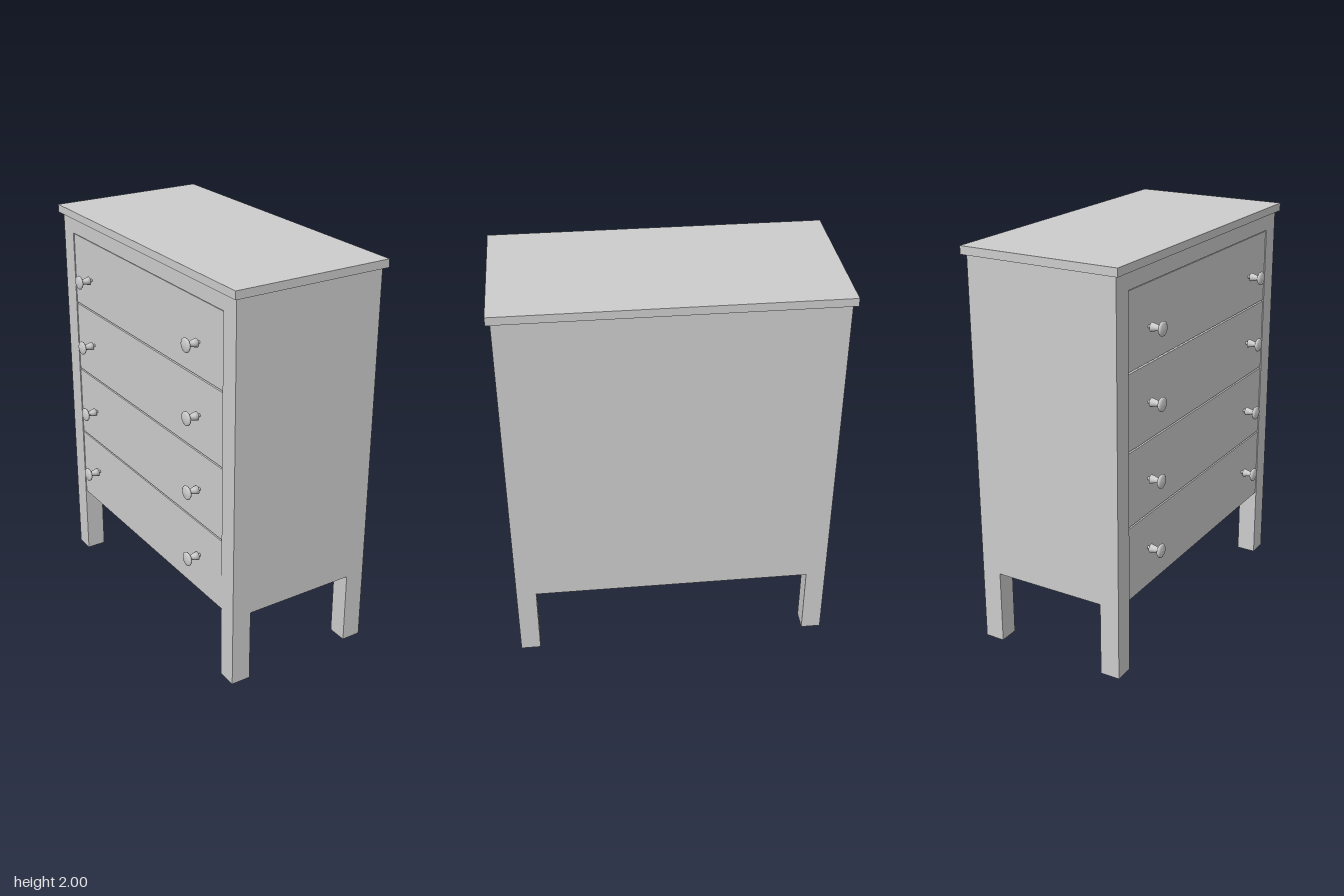
import * as THREE from 'three';

const material = new THREE.MeshStandardMaterial({ color: 0xcccccc });

// Box given by its minimum and maximum corners
function box(name, [x0, y0, z0], [x1, y1, z1]) {
  const mesh = new THREE.Mesh(new THREE.BoxGeometry(x1 - x0, y1 - y0, z1 - z0), material);
  mesh.name = name;
  mesh.position.set((x0 + x1) / 2, (y0 + y1) / 2, (z0 + z1) / 2);
  return mesh;
}

export function createModel() {
  const group = new THREE.Group();
  group.name = 'chestOfDrawers';

  const front = -0.36, back = 0.42, inner = -0.34; // drawers face -x
  const half = 0.8, post = 0.1;
  const bottom = 0.375, drawerTop = 1.875, top = 1.96;

  // Carcass and overhanging top board
  group.add(box('carcass', [inner, bottom, -half], [back, top, half]));
  group.add(box('topBoard', [front - 0.02, top, -half - 0.02], [back + 0.02, 2, half + 0.02]));

  // Four square legs, with the front posts continuing up beside the drawers
  for (const s of [-1, 1]) {
    const z0 = s < 0 ? -half : half - post, z1 = z0 + post;
    group.add(box('frontLeg', [front, 0, z0], [front + post, bottom, z1]));
    group.add(box('backLeg', [back - post, 0, z0], [back, bottom, z1]));
    group.add(box('frontPost', [front, bottom, z0], [inner, top, z1]));
  }
  group.add(box('topRail', [front, drawerTop, post - half], [inner, top, half - post]));

  // Turned knob: slim pin, flared stem, narrow waist and rounded head
  const profile = [
    [0.008, 0], [0.008, 0.02], [0.022, 0.02], [0.017, 0.038], [0.013, 0.055], [0.016, 0.061],
    [0.031, 0.069], [0.035, 0.075], [0.034, 0.08], [0.026, 0.085], [0, 0.088],
  ].map(([r, y]) => new THREE.Vector2(r, y));
  const knobGeometry = new THREE.LatheGeometry(profile, 24);
  knobGeometry.rotateZ(Math.PI / 2);

  // Drawer fronts with narrow gaps, two knobs each
  const gap = 0.004, pitch = (drawerTop - bottom) / 4;
  [0.575, 0.935, 1.315, 1.67].forEach((knobY, i) => {
    const y0 = bottom + i * pitch;
    group.add(box('drawerFront',
      [front + 0.003, y0 + (i ? gap : 0), post - half + gap],
      [inner, y0 + pitch - gap, half - post - gap]));
    for (const z of [-0.52, 0.505]) {
      const knob = new THREE.Mesh(knobGeometry, material);
      knob.name = 'knob';
      knob.position.set(-0.352, knobY, z);
      group.add(knob);
    }
  });

  return group;
}
